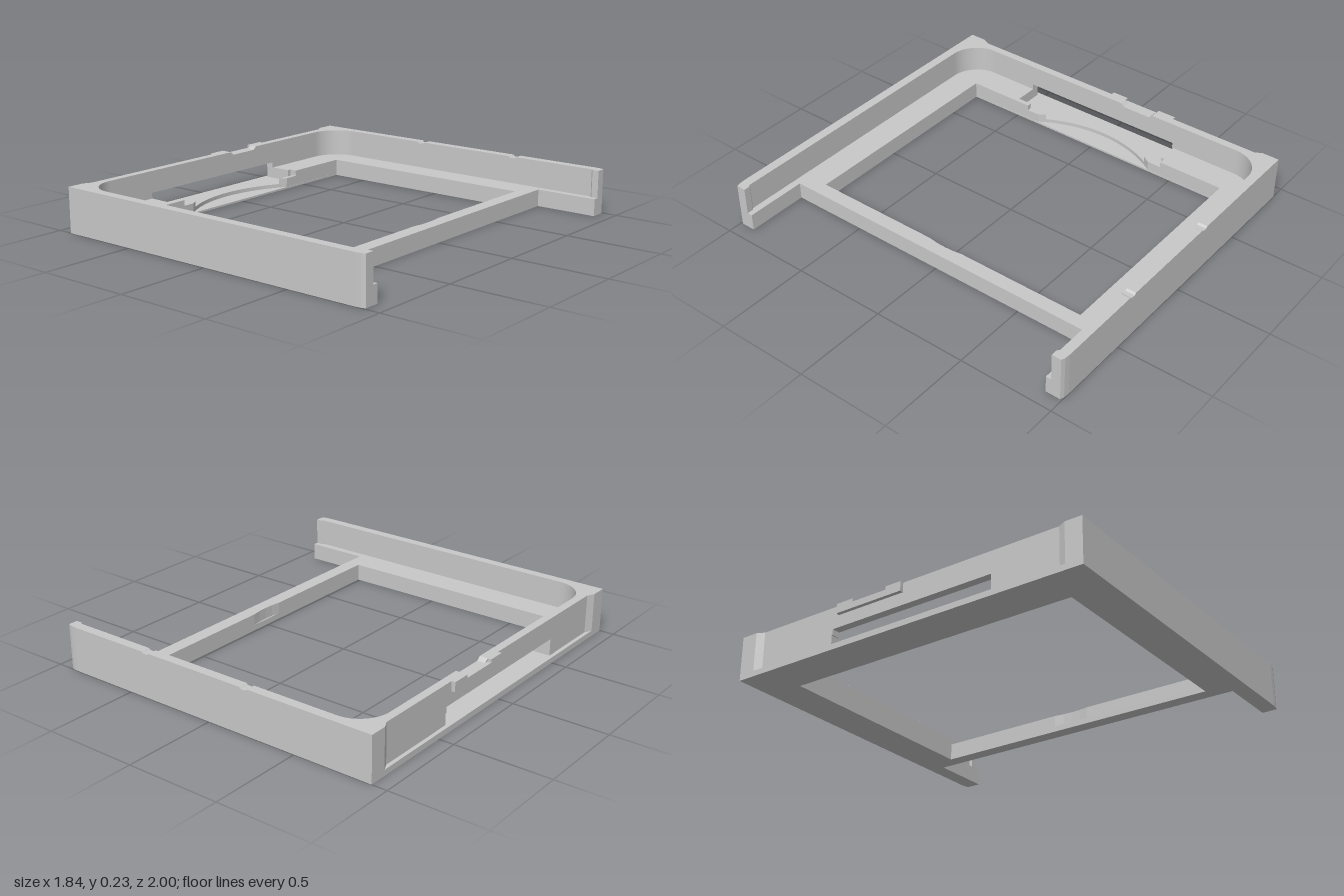
import * as THREE from 'three';

export function createModel() {
  const group = new THREE.Group();
  const grey = new THREE.MeshStandardMaterial({ color: 0xc8c8c8 });
  grey.name = 'grey plastic';

  // Points are [x, z] in plan; each slab is raised from y0 to y1.
  function plan(pts) {
    const out = pts.map(([x, z]) => new THREE.Vector2(x, -z));
    return THREE.ShapeUtils.isClockWise(out) ? out.reverse() : out;
  }
  function add(name, geo) {
    const mesh = new THREE.Mesh(geo, grey);
    mesh.name = name;
    group.add(mesh);
  }
  function slab(name, pts, y0, y1, hole) {
    const shape = new THREE.Shape(plan(pts));
    if (hole) shape.holes.push(new THREE.Path(plan(hole)));
    const geo = new THREE.ExtrudeGeometry(shape, { depth: y1 - y0, bevelEnabled: false });
    geo.rotateX(-Math.PI / 2);
    geo.translate(0, y0, 0);
    add(name, geo);
  }
  const rect = (x0, x1, z0, z1) => [[x0, z0], [x1, z0], [x1, z1], [x0, z1]];

  // Right-hand edge of the base: two arms with eased tips and the crossbar between them
  const armEdge = [
    [0.87, -1], [0.9, -0.997], [0.92, -0.99], [0.92, -0.912], [0.585, -0.912],
    [0.585, 0.912], [0.92, 0.912], [0.92, 0.99], [0.9, 0.997], [0.87, 1],
  ];
  const outline = [[-0.92, -1], ...armEdge, [-0.92, 1]];

  // Opening with the curved thumb recess on its left side
  const thumbOpening = [[0.51, -0.8], [0.51, 0.8], [-0.705, 0.8]];
  for (let i = 0; i <= 24; i++) {
    const a = 0.575 * (1 - i / 12);
    thumbOpening.push([-0.147 - 0.668 * Math.cos(a), 0.668 * Math.sin(a)]);
  }
  thumbOpening.push([-0.705, -0.8]);

  // Base frame: floor, pocket floor, then the ledge broken by the pocket
  slab('baseFloor', outline, 0, 0.01, rect(-0.705, 0.51, -0.8, 0.8));
  slab('pocketFloor', outline, 0.01, 0.03, thumbOpening);
  slab('ledgeFrame', [
    [-0.92, -1], ...armEdge, [-0.92, 1], [-0.92, 0.91], [-0.9, 0.87],
    [-0.9, 0.51], [-0.73, 0.51], [-0.73, 0.43], [-0.705, 0.43], [-0.705, 0.8],
    [0.51, 0.8], [0.51, 0.1], [0.517, 0.05], [0.519, 0], [0.517, -0.05], [0.51, -0.1],
    [0.51, -0.8], [-0.705, -0.8], [-0.705, -0.44], [-0.745, -0.44],
    [-0.745, -0.42], [-0.9, -0.42], [-0.9, -0.87], [-0.92, -0.91],
  ], 0.03, 0.09);
  for (const [s, z] of [[1, 0.43], [-1, 0.44]]) {
    slab('pocketLip', [
      [-0.73, s * z], [-0.705, s * z], [-0.705, s * 0.365], [-0.73, s * 0.325],
    ], 0.03, 0.06);
  }

  // End of a side wall, with an eased outer tip and an inner catch
  const wallEnd = (s) => [
    [0.87, s], [0.9, s * 0.997], [0.92, s * 0.99],
    [0.92, s * 0.94], [0.885, s * 0.94], [0.875, s * 0.95],
  ];
  // L-shaped half of the wall: from zEnd on the left side, round the corner, along the arm
  function wallHalf(s, zEnd, armEnd = wallEnd(s)) {
    const pts = [
      [-0.857, zEnd], [-0.9, zEnd], [-0.9, s * 0.87], [-0.92, s * 0.91], [-0.92, s], ...armEnd,
    ];
    for (let i = 0; i <= 20; i++) {
      const t = (i / 20) * Math.PI / 2;
      pts.push([-0.697 - 0.16 * Math.sin(t), s * (0.79 + 0.16 * Math.cos(t))]);
    }
    return pts;
  }

  // Wall: slotted layer, solid layer, notched rim
  const rim = 0.218, top = 0.235;
  slab('slotWallFront', wallHalf(1, 0.51), 0.09, 0.12);
  slab('slotWallBack', wallHalf(-1, -0.415), 0.09, 0.12);
  slab('wallFront', wallHalf(1, -0.18), 0.12, rim);
  slab('wallBack', wallHalf(-1, -0.18), 0.12, rim);
  slab('rimFront', wallHalf(1, -0.08), rim, top);
  slab('rimBackCorner', wallHalf(-1, -0.28, [[-0.235, -1], [-0.235, -0.95]]), rim, top);
  slab('rimBackMiddle', rect(-0.19, 0.37, -1, -0.95), rim, top);
  slab('rimBackEnd', [[0.415, -0.95], [0.415, -1], ...wallEnd(-1)], rim, top);

  // Shallow floors with sloped sides in the two back notches
  for (const x of [-0.235, 0.37]) {
    const profile = [[0, rim], [0.045, rim], [0.045, top], [0.035, 0.227], [0.01, 0.227], [0, top]];
    const shape = new THREE.Shape(profile.map(([u, y]) => new THREE.Vector2(x + u, y)));
    const geo = new THREE.ExtrudeGeometry(shape, { depth: 0.05, bevelEnabled: false });
    geo.translate(0, 0, -1);
    add('rimNotchFloor', geo);
  }

  // Catch plate on the outside of the left wall, with its two raised ends
  slab('catchPlate', rect(-0.92, -0.9, -0.38, 0.01), 0.185, rim);
  slab('catchEndBack', rect(-0.92, -0.9, -0.38, -0.28), rim, top);
  slab('catchEndFront', rect(-0.92, -0.9, -0.08, 0.01), rim, top);

  // Sloped ends of the left notch
  for (const [z, dir] of [[-0.28, 1], [-0.08, -1]]) {
    const wedge = new THREE.Shape([
      new THREE.Vector2(-z, rim), new THREE.Vector2(-z, top),
      new THREE.Vector2(-z - dir * 0.02, rim),
    ]);
    const geo = new THREE.ExtrudeGeometry(wedge, { depth: 0.043, bevelEnabled: false });
    geo.rotateY(Math.PI / 2);
    geo.translate(-0.9, 0, 0);
    add('notchSlope', geo);
  }
  return group;
}
